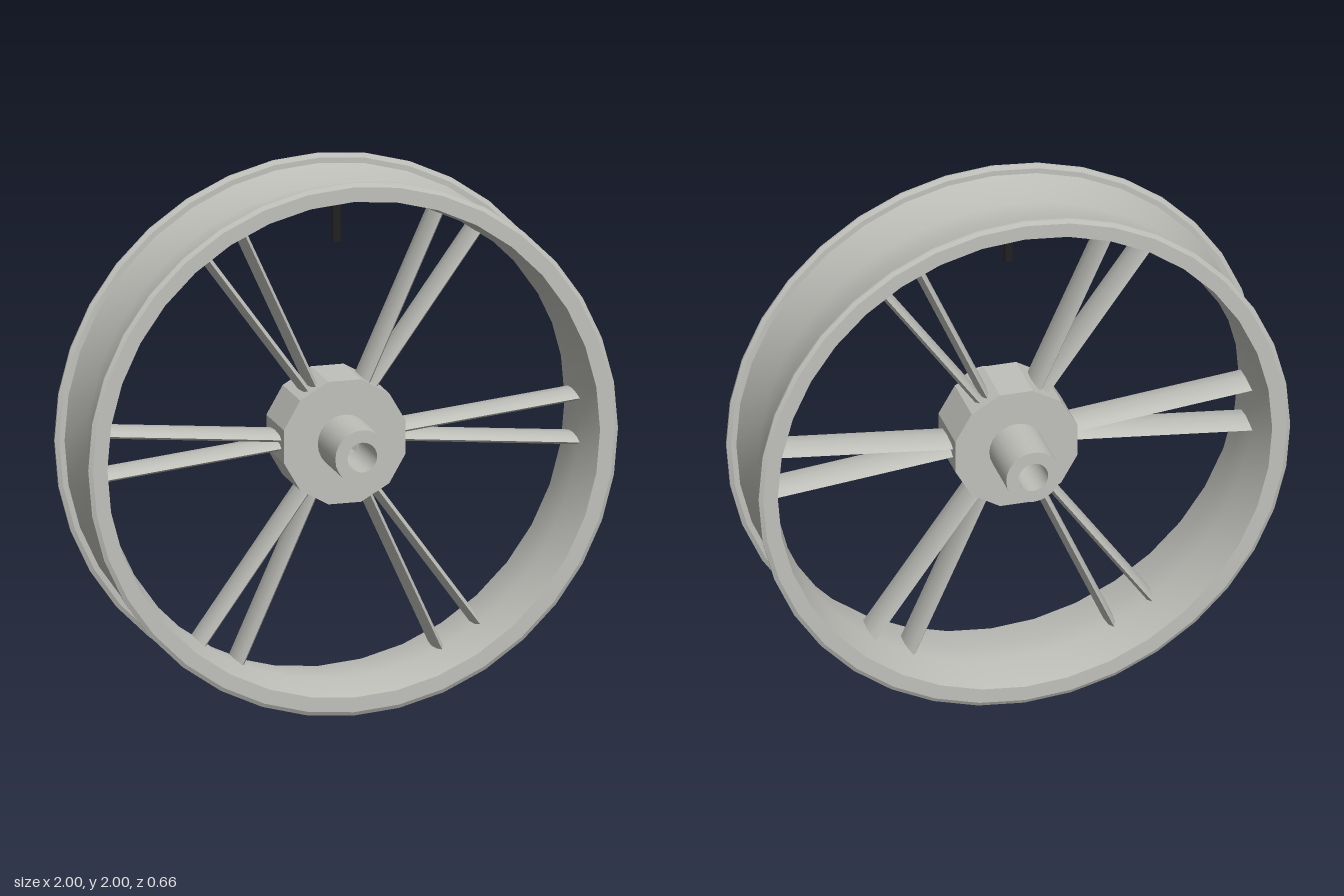
import * as THREE from 'three';
import { toCreasedNormals } from 'three/addons/utils/BufferGeometryUtils.js';

const metal = new THREE.MeshStandardMaterial({ color: 0xc0c0bb });
metal.name = 'silver metal';
const rubber = new THREE.MeshStandardMaterial({ color: 0x222222 });
rubber.name = 'black rubber';

// Closed ring turned about the z axis from [radius, z] pairs
function ring(name, profile, segments, crease, turn = 0) {
  const points = profile.concat([profile[0]]).map(([r, z]) => new THREE.Vector2(r, z));
  const lathe = new THREE.LatheGeometry(points, segments, turn);
  lathe.rotateX(Math.PI / 2);
  const mesh = new THREE.Mesh(toCreasedNormals(lathe, crease), metal);
  mesh.name = name;
  return mesh;
}

// Flattened bar from one point to another, deep along z
function spoke(name, from, to) {
  const dir = to.clone().sub(from);
  const bar = new THREE.CylinderGeometry(1, 1, dir.length(), 8);
  bar.scale(0.018, 1, 0.08);
  const mesh = new THREE.Mesh(toCreasedNormals(bar, 0.7), metal);
  mesh.position.copy(from).add(to).multiplyScalar(0.5);
  mesh.rotation.z = Math.atan2(dir.y, dir.x) - Math.PI / 2;
  mesh.name = name;
  return mesh;
}

export function createModel() {
  const model = new THREE.Group();
  model.name = 'wheel';
  const wheel = new THREE.Group();
  wheel.name = 'wheelAssembly';
  wheel.position.y = 1;
  model.add(wheel);

  // Dished rim with a raised lip on each edge
  wheel.add(ring('rim', [
    [0.93, -0.222], [0.985, -0.222], [1, -0.214], [1, -0.206], [0.985, -0.198], [0.965, -0.198],
    [0.927, -0.05], [0.927, 0.05],
    [0.965, 0.198], [0.985, 0.198], [1, 0.206], [1, 0.214], [0.985, 0.222], [0.93, 0.222],
    [0.9, 0.06], [0.9, -0.06],
  ], 36, 0.45));

  // Twelve-sided hub and its hollow axle
  wheel.add(ring('hub', [[0.056, -0.11], [0.238, -0.11], [0.238, 0.11], [0.056, 0.11]], 12, 0.3, Math.PI / 12));
  wheel.add(ring('axle', [[0.056, -0.33], [0.102, -0.33], [0.102, 0.33], [0.056, 0.33]], 24, 0.5));

  // Six pairs of spokes
  for (let i = 0; i < 6; i++) {
    const pair = new THREE.Group();
    pair.name = 'spokePair' + (i + 1);
    pair.rotation.z = i * Math.PI / 3;
    for (const side of [1, -1]) {
      pair.add(spoke(side > 0 ? 'upperSpoke' : 'lowerSpoke',
        new THREE.Vector3(0.17, side * 0.01, 0), new THREE.Vector3(0.897, side * 0.083, 0)));
    }
    wheel.add(pair);
  }

  // Valve stem inside the rim
  const valve = new THREE.Mesh(
    toCreasedNormals(new THREE.CylinderGeometry(0.018, 0.018, 0.18, 8), 0.5), rubber);
  valve.name = 'valveStem';
  valve.position.y = 0.816;
  wheel.add(valve);

  return model;
}
